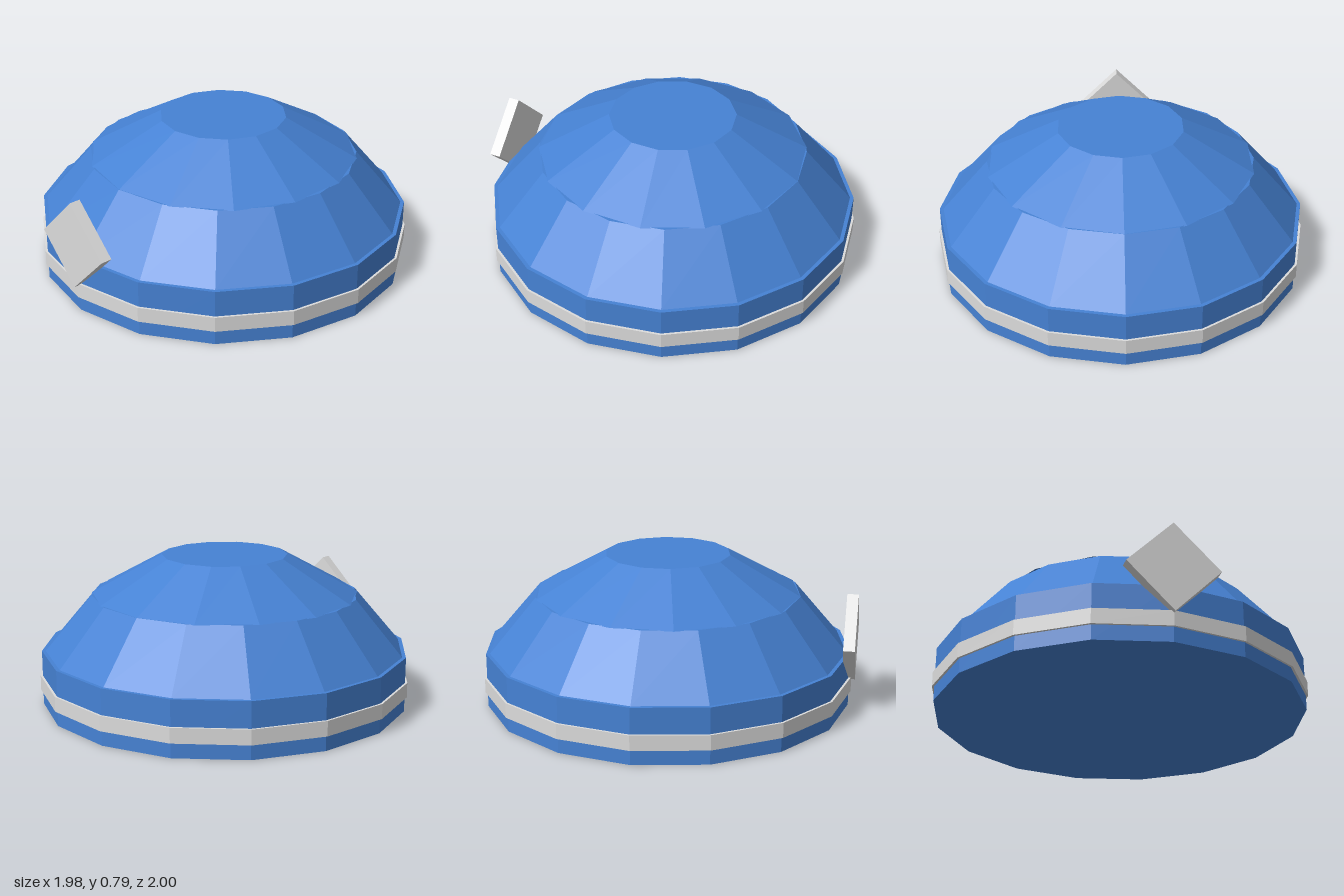
import * as THREE from 'three';

export function createModel() {
  const model = new THREE.Group();
  const blue = new THREE.MeshStandardMaterial({ color: 0x4682d4 });
  const grey = new THREE.MeshStandardMaterial({ color: 0xdcdcdc });
  blue.name = 'blue';
  grey.name = 'light grey';
  const centreZ = -0.01;

  // Faceted round tier with one corner pointing to the front
  function addTier(name, material, bottomRadius, topRadius, bottom, top, sides) {
    const geometry = new THREE.CylinderGeometry(topRadius, bottomRadius, top - bottom, sides).toNonIndexed();
    geometry.computeVertexNormals();
    const mesh = new THREE.Mesh(geometry, material);
    mesh.name = name;
    mesh.position.set(0, (bottom + top) / 2, centreZ);
    model.add(mesh);
  }

  addTier('base', blue, 0.978, 0.978, 0, 0.293, 16);
  addTier('band', grey, 0.99, 0.99, 0.078, 0.157, 16);
  addTier('lowerDome', blue, 0.958, 0.708, 0.293, 0.587, 16);
  addTier('upperDome', blue, 0.71, 0.333, 0.585, 0.793, 14);

  // Diamond badge standing on the front of the band
  const side = 0.235 * Math.SQRT2;
  const badge = new THREE.Mesh(new THREE.BoxGeometry(side, side, 0.06), grey);
  badge.name = 'diamondBadge';
  badge.position.set(0, 0.38, 0.97);
  badge.rotation.z = Math.PI / 4;
  model.add(badge);

  return model;
}
